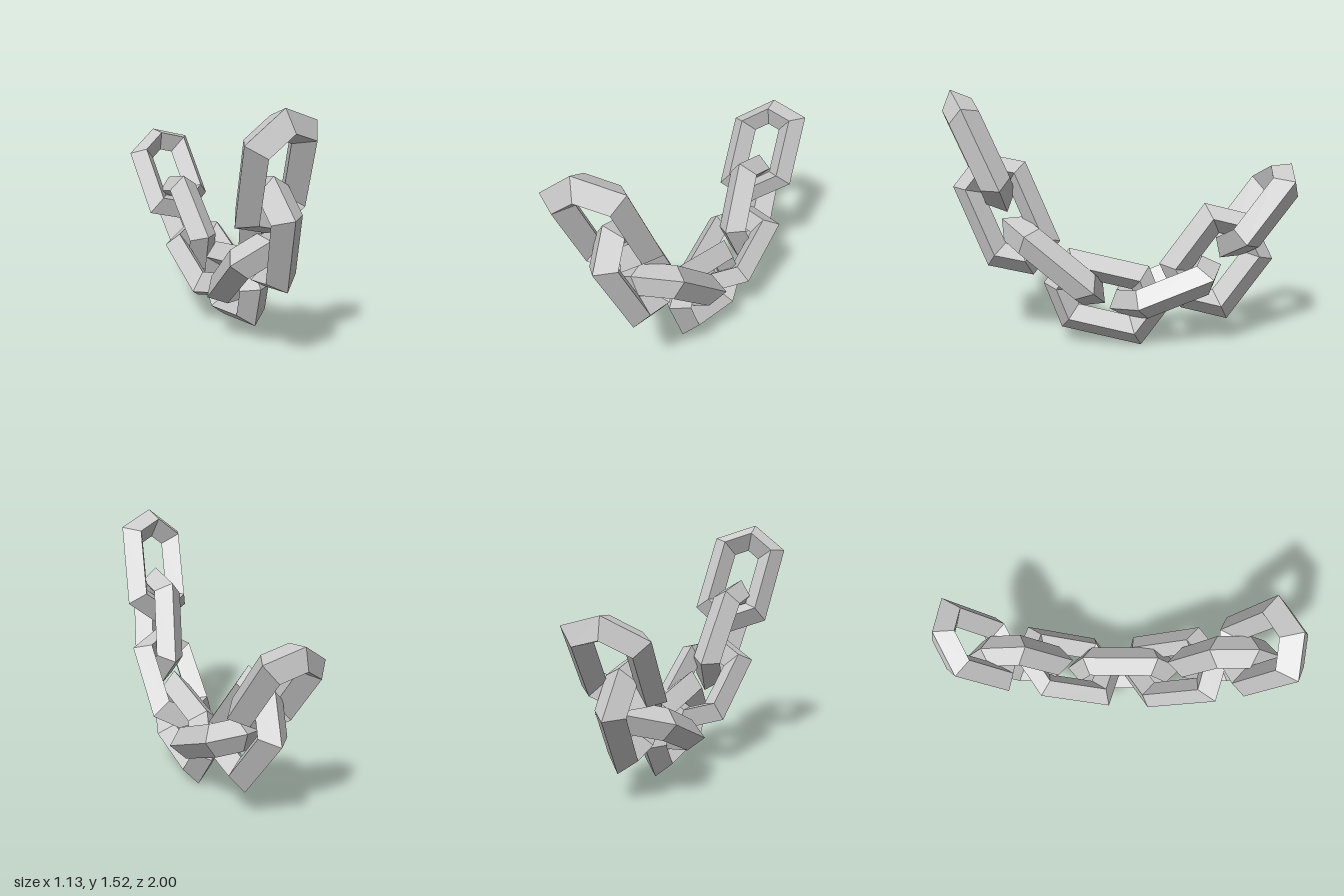
import * as THREE from 'three';

// Sizes of one link: ring radius, bar radius, and how far each half is pulled out
const RING = 0.19, BAR = 0.095, STRETCH = 0.1175;
const SIDE = RING + BAR + 2 * STRETCH;              // outer straight side
const WIDTH = 2 * (RING + BAR) * Math.sin(Math.PI / 3); // outer width

// Each link: centre, vector along its straight side, vector across its width
const LINKS = [
  [[-0.267, 1.167, 0.80], [-0.123, 0.47, 0.19], [0.476, 0.08, 0.037]],
  [[-0.16, 0.795, 0.659], [-0.147, 0.47, 0.176], [-0.10, -0.15, 0.428]],
  [[-0.042, 0.51, 0.399], [-0.167, 0.329, 0.373], [0.473, 0.076, 0.031]],
  [[0.11, 0.304, 0.114], [-0.165, 0.104, 0.455], [-0.02, 0.49, -0.055]],
  [[0.197, 0.363, -0.238], [0.122, 0.183, -0.418], [0.472, 0.043, 0.026]],
  [[0.27, 0.522, -0.535], [0.025, 0.363, -0.276], [-0.16, 0.332, 0.381]],
  [[0.305, 0.826, -0.768], [0.041, 0.365, -0.269], [0.475, 0.073, 0.028]],
];

// Six-sided ring with a diamond bar, its two halves pulled apart along x
function linkGeometry() {
  const geo = new THREE.TorusGeometry(RING, BAR, 4, 6);
  const pos = geo.attributes.position;
  for (let i = 0; i < pos.count; i++) {
    const x = pos.getX(i);
    pos.setX(i, x + Math.sign(x) * STRETCH);
  }
  return geo.toNonIndexed();
}

export function createModel() {
  const chain = new THREE.Group();
  chain.name = 'chain';
  const base = linkGeometry();
  const material = new THREE.MeshStandardMaterial({ color: 0xcccccc, flatShading: true });

  LINKS.forEach(([centre, along, across], i) => {
    const u = new THREE.Vector3(...along).divideScalar(SIDE);
    const v = new THREE.Vector3(...across).divideScalar(WIDTH);
    const n = new THREE.Vector3().crossVectors(u, v).normalize();
    const pose = new THREE.Matrix4().makeBasis(u, v, n).setPosition(...centre);
    const geo = base.clone().applyMatrix4(pose);
    geo.computeVertexNormals();
    const link = new THREE.Mesh(geo, material);
    link.name = `chainLink${i + 1}`;
    chain.add(link);
  });
  return chain;
}
